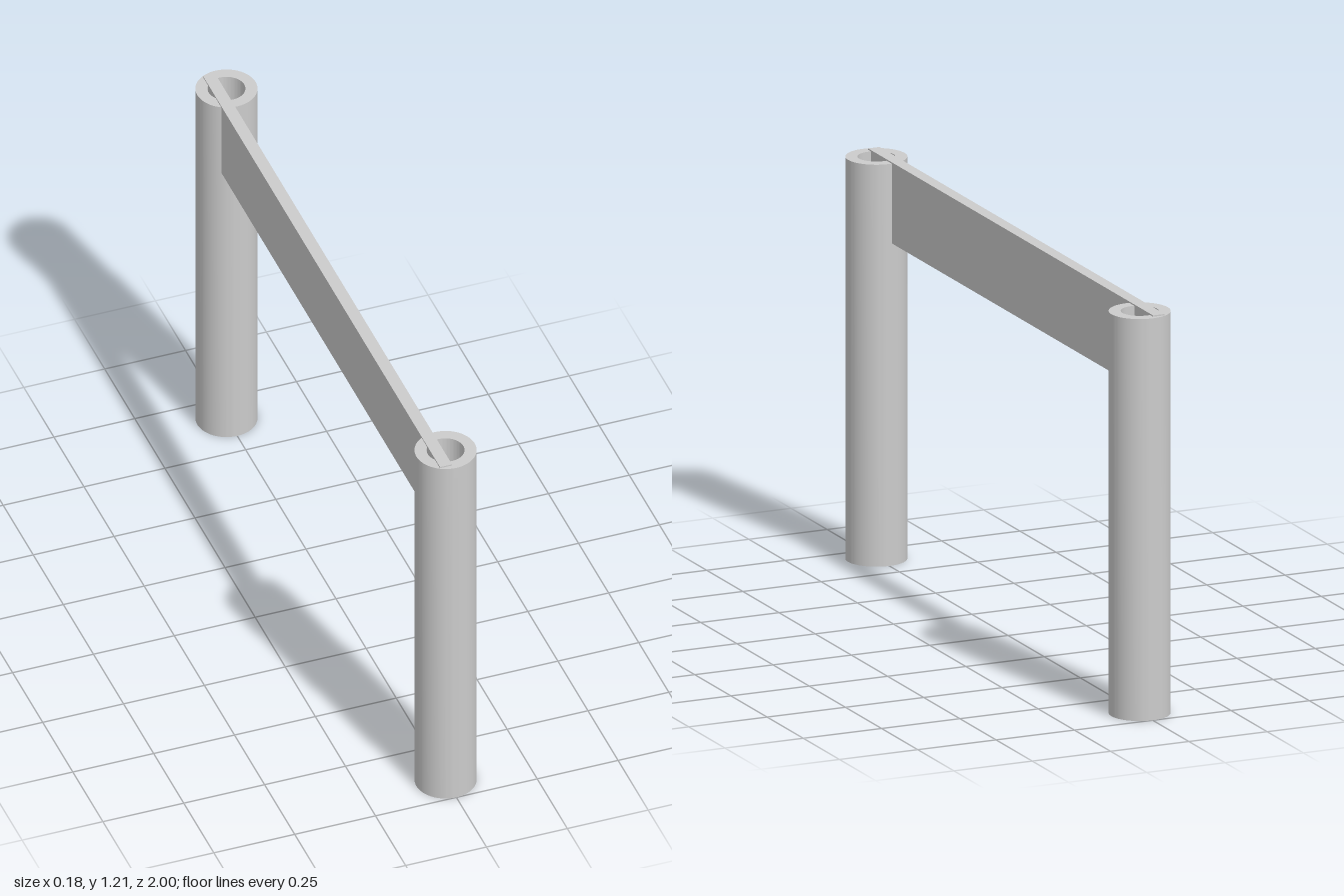
import * as THREE from 'three';
import { toCreasedNormals } from 'three/addons/utils/BufferGeometryUtils.js';

const HEIGHT = 1.21;
const OUTER = 0.09;
const INNER = 0.055;

// Upright hollow pipe standing on y = 0
function pipeGeometry() {
  const ring = new THREE.Shape().absarc(0, 0, OUTER, 0, Math.PI * 2, false);
  ring.holes.push(new THREE.Path().absarc(0, 0, INNER, 0, Math.PI * 2, true));
  const geometry = new THREE.ExtrudeGeometry(ring, {
    depth: HEIGHT, bevelEnabled: false, curveSegments: 40,
  });
  geometry.rotateX(-Math.PI / 2);
  return toCreasedNormals(geometry, 0.6);
}

export function createModel() {
  const group = new THREE.Group();
  group.name = 'barrier';
  const material = new THREE.MeshStandardMaterial({ color: 0xcccccc });

  // Front and back posts
  const pipe = pipeGeometry();
  for (const [name, side] of [['frontPost', 1], ['backPost', -1]]) {
    const post = new THREE.Mesh(pipe, material);
    post.name = name;
    post.position.z = side * (1 - OUTER);
    group.add(post);
  }

  // Flat rail running through both posts, slightly off centre and proud of their tops
  const bottom = 0.97, top = 1.214;
  const rail = new THREE.Mesh(new THREE.BoxGeometry(0.037, top - bottom, 1.97), material);
  rail.name = 'rail';
  rail.position.set(-0.0265, (bottom + top) / 2, 0);
  group.add(rail);

  return group;
}
